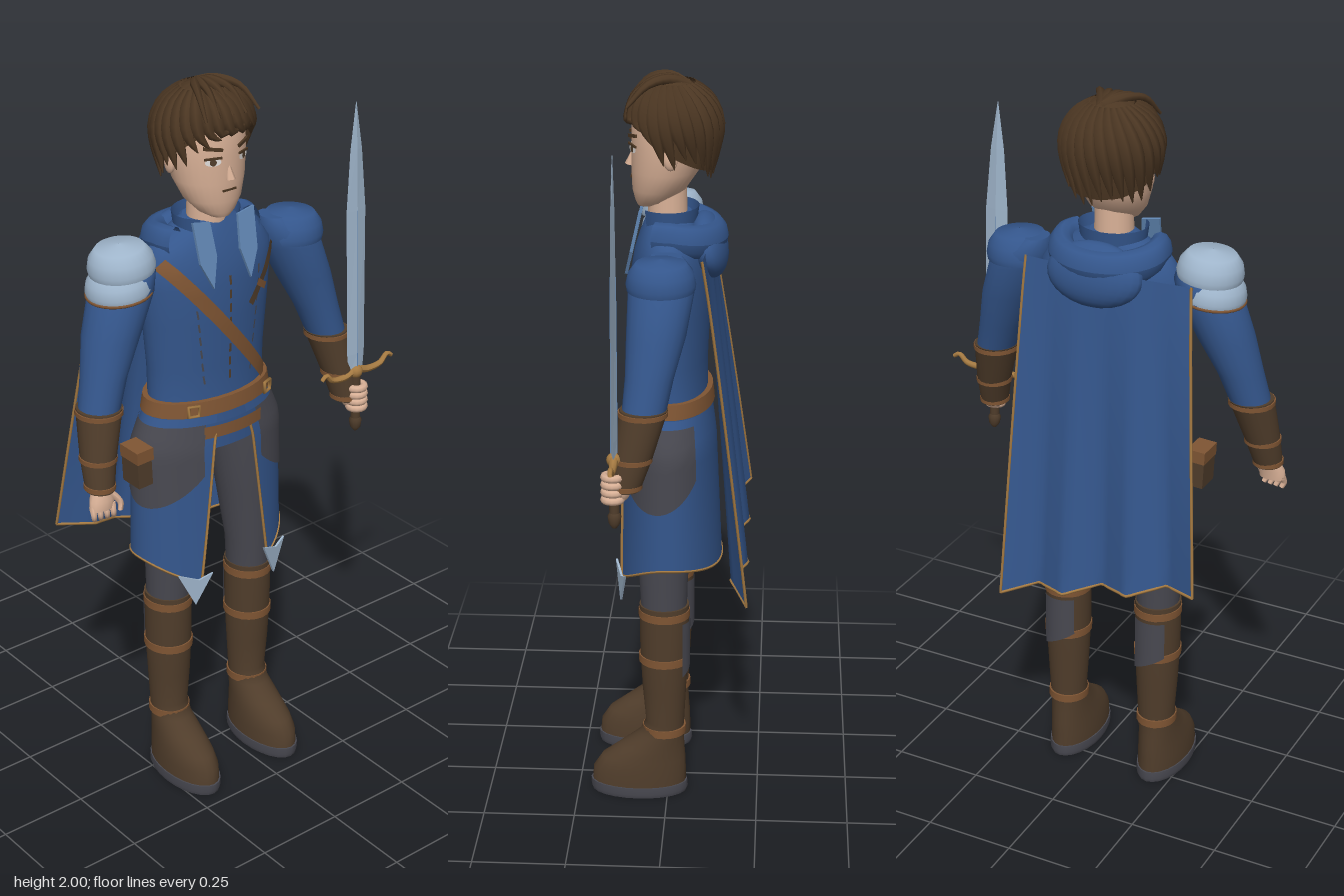
import * as THREE from 'three';

const M = {};
for (const [name, color] of Object.entries({
  blueCloth: 0x34568c, paleBlue: 0x6288b5, steel: 0x9fb5cb, greyTrousers: 0x484850, bootLeather: 0x503d2b,
  tanLeather: 0x7f5533, gold: 0xa57a42, skin: 0xd8b096, hairBrown: 0x4b3622, eyeWhite: 0xe2dedb,
})) M[name] = new THREE.MeshStandardMaterial({ color, name, side: THREE.DoubleSide });

const lerp = THREE.MathUtils.lerp;
const V = (x, y, z) => new THREE.Vector3(x, y, z);

export function createModel() {
  const root = new THREE.Group();
  const body = new THREE.Group();
  body.name = 'figure';
  body.position.x = -0.055;
  root.add(body);

  const add = (name, geo, mat, pos = [0, 0, 0], rot = [0, 0, 0], parent = body) => {
    const m = new THREE.Mesh(geo, mat);
    m.name = name;
    m.position.set(...pos);
    m.rotation.set(...rot);
    parent.add(m);
    return m;
  };
  // smooth sheet from a rule fn(u, v) -> [x, y, z]
  const grid = (nu, nv, fn) => {
    const p = [], idx = [], w = nu + 1;
    for (let j = 0; j <= nv; j++) for (let i = 0; i <= nu; i++) p.push(...fn(i / nu, j / nv));
    for (let j = 0; j < nv; j++) for (let i = 0; i < nu; i++) {
      const a = j * w + i;
      idx.push(a, a + 1, a + w + 1, a, a + w + 1, a + w);
    }
    const g = new THREE.BufferGeometry();
    g.setAttribute('position', new THREE.Float32BufferAttribute(p, 3));
    g.setIndex(idx);
    g.computeVertexNormals();
    return g;
  };
  // capped solid through ellipses [y, rx, rz, cx, cz], listed upwards
  const loft = (secs, n = 24, flat = false, s = 1) => {
    const p = [], idx = [];
    const ring = ([y, rx, rz, cx = 0, cz = 0]) => {
      for (let i = 0; i < n; i++) {
        const a = i / n * Math.PI * 2;
        p.push(s * cx + rx * Math.sin(a), y, cz + rz * Math.cos(a));
      }
    };
    secs.forEach(ring);
    for (let j = 0; j < secs.length - 1; j++) for (let i = 0; i < n; i++) {
      const a = j * n + i, b = j * n + (i + 1) % n;
      idx.push(a, b, b + n, a, b + n, a + n);
    }
    for (const [sec, up] of [[secs[0], false], [secs.at(-1), true]]) {
      const o = p.length / 3;
      ring(sec);
      p.push(s * (sec[3] || 0), sec[0], sec[4] || 0);
      for (let i = 0; i < n; i++) up ? idx.push(o + i, o + (i + 1) % n, o + n) : idx.push(o + (i + 1) % n, o + i, o + n);
    }
    let g = new THREE.BufferGeometry();
    g.setAttribute('position', new THREE.Float32BufferAttribute(p, 3));
    g.setIndex(idx);
    if (flat) g = g.toNonIndexed();
    g.computeVertexNormals();
    return g;
  };
  // tube along points whose radius follows taper(t)
  const sweep = (pts, r, taper = () => 1, seg = 10, sides = 6) => {
    const c = new THREE.CatmullRomCurve3(pts.map(q => V(...q)));
    const g = new THREE.TubeGeometry(c, seg, r, sides);
    const pos = g.attributes.position, v = V(0, 0, 0);
    for (let i = 0; i < pos.count; i++) {
      const t = Math.floor(i / (sides + 1)) / seg, o = c.getPointAt(t);
      v.fromBufferAttribute(pos, i).sub(o).multiplyScalar(taper(t)).add(o);
      pos.setXYZ(i, v.x, v.y, v.z);
    }
    g.computeVertexNormals();
    return g;
  };

  // torso
  const torso = [[1.06, .19, .11], [1.15, .175, .1], [1.25, .178, .1], [1.38, .19, .105], [1.48, .2, .104],
    [1.54, .2, .094], [1.585, .165, .08], [1.62, .1, .066], [1.64, .06, .055]];
  add('coatBody', loft(torso, 32), M.blueCloth);
  const chestZ = (x, y) => {
    let i = 0;
    while (i < torso.length - 2 && torso[i + 1][0] < y) i++;
    const [a, b] = [torso[i], torso[i + 1]], t = (y - a[0]) / (b[0] - a[0]);
    return lerp(a[2], b[2], t) * Math.sqrt(Math.max(0, 1 - (x / lerp(a[1], b[1], t)) ** 2));
  };
  // flat strap laid over the chest between two points
  const strap = (name, [x0, y0], [x1, y1], w, mat, lift = .007) => {
    const L = Math.hypot(x1 - x0, y1 - y0), nx = -(y1 - y0) / L, ny = (x1 - x0) / L;
    add(name, grid(16, 2, (u, v) => {
      const x = lerp(x0, x1, u) + nx * (v - .5) * w, y = lerp(y0, y1, u) + ny * (v - .5) * w;
      return [x, y, chestZ(x, y) + lift];
    }), mat);
  };
  strap('baldric', [-.175, 1.555], [.15, 1.165], .036, M.tanLeather);
  strap('chestSheath', [.065, 1.405], [.175, 1.535], .022, M.bootLeather, .011);
  strap('chestSheathLoop', [.09, 1.46], [.125, 1.435], .018, M.tanLeather, .014);
  for (let i = 0; i < 8; i++) {
    const y = 1.21 + i * .038;
    strap('frontStitch', [0, y], [0, y + .024], .007, M.bootLeather, .004);
    for (const s of [-1, 1]) strap('sideStitch', [s * (.075 + i * .004), y], [s * (.079 + i * .004), y + .024], .005, M.greyTrousers, .004);
  }

  // belts, buckles and pouch
  add('belt', loft([[1.125, .197, .119], [1.165, .19, .114]], 32), M.tanLeather);
  add('lowerBelt', grid(14, 1, (u, v) => [lerp(-.09, .1, u), 1.06 + v * .035, .126 - (u - .5) ** 2 * .06]), M.tanLeather);
  for (const x of [-.115, .13]) add('buckle', new THREE.TorusGeometry(.02, .005, 6, 4), M.gold, [x, 1.145, .1], [0, x * 3, Math.PI / 4]);
  add('coatFlap', grid(10, 2, (u, v) => [lerp(-.09, .09, u), lerp(1.025, 1.1, v), .119 - (u - .5) ** 2 * .05]), M.blueCloth);
  add('pouch', new THREE.BoxGeometry(.045, .1, .07), M.bootLeather, [-.25, 1.005, .03], [0, 0, .05]);
  add('pouchFlap', new THREE.BoxGeometry(.052, .035, .076), M.tanLeather, [-.25, 1.045, .03], [0, 0, .05]);

  // coat skirt, open in front
  const hem = a => .67 + .04 * Math.sin(a) ** 2 - .05 * Math.max(0, Math.cos(a)) ** 2;
  const onSkirt = (a, y, off = 0) => {
    const t = THREE.MathUtils.clamp((1.12 - y) / .09, 0, 1), d = (1.12 - y) / .5;
    return [(lerp(.19, .228, t) + .008 * d + off) * Math.sin(a), y, (lerp(.112, .12, t) + .024 * d + off) * Math.cos(a)];
  };
  const gap = v => Math.asin(lerp(.11, .055, v) / .23);
  const skirtPoint = (u, v, off) => {
    const a = lerp(gap(v), Math.PI * 2 - gap(v), u);
    return onSkirt(a, lerp(hem(a), 1.12, v), off);
  };
  add('coatSkirt', grid(64, 14, (u, v) => skirtPoint(u, v)), M.blueCloth);
  const ts = [...Array(13).keys()].map(i => i / 12);
  for (const u of [0, 1]) add('skirtTrim', sweep(ts.map(v => skirtPoint(u, v * .9, .002)), .004, undefined, 24, 5), M.gold);
  add('skirtHem', sweep([...Array(33).keys()].map(i => skirtPoint(i / 32, 0)), .0035, undefined, 64, 5), M.gold);
  for (const s of [-1, 1]) {
    add('hipPanel', grid(20, 8, (u, v) => {
      const a = lerp(.42, 2.2, u);
      return onSkirt(s * a, lerp(1.09 - .22 * Math.sin(Math.PI * (.12 + u * .76)) ** .5, 1.1, v), .004);
    }), M.greyTrousers);
    const tip = new THREE.Shape([[-.05, .045], [0, -.055], [.05, .035], [.01, .02]].map(q => new THREE.Vector2(...q)));
    add('skirtTip', new THREE.ExtrudeGeometry(tip, { depth: .006, bevelEnabled: false }), M.steel, [s * .135, .635, .125], [0, s * .3, 0]);
  }

  // legs and boots
  for (const s of [-1, 1]) {
    add('trouserLeg', loft([[.5, .056, .06, .14, .01], [.65, .062, .066, .138, .012], [.82, .08, .08, .128, .01],
      [.98, .094, .09, .115, .005], [1.09, .09, .09, .1, 0]], 20, false, s), M.greyTrousers);
    add('boot', loft([[.025, .066, .131, .14, .081], [.07, .066, .129, .14, .079], [.105, .062, .117, .14, .068],
      [.14, .058, .091, .14, .045], [.18, .053, .062, .14, .018], [.22, .052, .053, .14, .008], [.32, .058, .06, .14, .01],
      [.43, .063, .066, .14, .01], [.575, .063, .068, .14, .01]], 24, false, s), M.bootLeather);
    add('sole', loft([[0, .066, .132, .14, .08], [.012, .07, .136, .14, .08], [.032, .069, .135, .14, .081]], 24, false, s), M.greyTrousers);
    for (const [y, r] of [[.55, .066], [.415, .066], [.195, .056]])
      add('bootStrap', loft([[y - .011, r, r + .004, .14, .01], [y + .011, r, r + .004, .14, .01]], 20, false, s), M.tanLeather);
    add('calfPatch', grid(8, 4, (u, v) => {
      const a = Math.PI + (u - .5) * 1.5;
      return [s * .14 + .066 * Math.sin(a), lerp(.37 + .05 * u, .53, v), .01 + .071 * Math.cos(a)];
    }), M.greyTrousers);
  }

  // arms
  for (const s of [-1, 1]) {
    add('sleeve', loft([[1.2, .052, .055, .383, .05], [1.3, .06, .062, .352, .035], [1.4, .076, .076, .315, .02],
      [1.5, .084, .084, .275, .01], [1.55, .07, .075, .25, .005], [1.58, .03, .04, .22, 0]], 20, false, s), M.blueCloth);
    add('bracer', loft([[1.02, .037, .04, .415, .095], [1.1, .046, .05, .404, .075], [1.225, .06, .062, .378, .048]], 18, false, s), M.bootLeather);
    for (const [y, r, x, z] of [[1.215, .062, .38, .05], [1.1, .049, .404, .075], [1.03, .041, .414, .093]])
      add('bracerBand', loft([[y - .006, r, r + .002, x, z], [y + .006, r, r + .002, x, z]], 18, false, s), M.tanLeather);
  }
  // open right hand
  add('rightPalm', loft([[.975, .036, .022, -.422, .11], [1.0, .036, .024, -.42, .108], [1.03, .026, .022, -.415, .1]], 14), M.skin);
  for (let i = 0; i < 4; i++) {
    const x = -.449 + i * .018, z = .108 + i * .003;
    add('rightFinger', sweep([[x, .985, z], [x - .003, .962, z + .01], [x + .002, .948, z + .004]], .0105, t => 1 - .35 * t), M.skin);
  }
  add('rightThumb', sweep([[-.395, 1.01, .115], [-.378, .985, .13], [-.382, .965, .135]], .011, t => 1 - .4 * t), M.skin);

  // sword in the left hand
  const sword = new THREE.Group();
  sword.name = 'sword';
  sword.position.set(.375, 1.03, .12);
  sword.rotation.z = .035;
  root.add(sword);
  const part = (name, geo, mat, pos, rot) => add(name, geo, mat, pos, rot, sword);
  part('blade', loft([[.07, .024, .008], [.13, .03, .008], [.55, .033, .007], [.72, .02, .005], [.85, .001, .001]], 4, true), M.steel);
  part('fuller', loft([[.08, .004, .0095], [.55, .003, .008]], 4, true), M.paleBlue);
  part('grip', new THREE.CylinderGeometry(.014, .013, .16, 12), M.bootLeather);
  part('crossGuard', sweep([[-.12, .085, 0], [-.105, .095, 0], [-.085, .075, 0], [-.04, .068, 0], [0, .08, 0], [.04, .068, 0],
    [.09, .07, 0], [.115, .09, 0], [.132, .08, 0]], .009, t => 1.3 - Math.abs(t - .5) * 1.3, 40, 8), M.gold);
  part('guardBoss', new THREE.SphereGeometry(.02, 12, 8), M.gold, [0, .075, 0]);
  part('pommel', loft([[-.108, .006, .006], [-.095, .015, .015], [-.075, .018, .018], [-.065, .012, .012]], 12), M.bootLeather);
  part('leftPalm', new THREE.SphereGeometry(.034, 14, 10).scale(.8, 1.15, .8), M.skin, [-.008, .0, -.016]);
  for (let i = 0; i < 4; i++)
    part('leftFinger', new THREE.TorusGeometry(.021, .011, 8, 14), M.skin, [0, -.03 + i * .02, .004], [Math.PI / 2, 0, 0]);

  // shoulder guards: two steel plates on the right, one blue cap on the left
  const dome = (r, h) => new THREE.LatheGeometry([[r * .97, 0], [r, h * .2], [r * .93, h * .55], [r * .72, h * .87], [.001, h]]
    .map(q => new THREE.Vector2(...q)), 28);
  add('rightLowerGuard', dome(.086, .07), M.steel, [-.28, 1.5, .01], [0, 0, .1]);
  add('rightGuardRim', new THREE.TorusGeometry(.084, .004, 6, 28), M.tanLeather, [-.28, 1.5, .01], [Math.PI / 2, .1, 0]);
  add('rightUpperGuard', dome(.087, .075), M.steel, [-.27, 1.556, .01], [0, 0, .1]);
  add('leftGuard', dome(.089, .08), M.blueCloth, [.277, 1.508, .01], [0, 0, -.03]);

  // collar with pointed lapels
  add('neck', new THREE.CylinderGeometry(.05, .054, .14, 20), M.skin, [0, 1.64, .008]);
  add('collar', grid(28, 3, (u, v) => {
    const a = lerp(.75, Math.PI * 2 - .75, u), r = lerp(.082, .094, v);
    return [r * Math.sin(a), lerp(1.57, 1.655, v), r * .85 * Math.cos(a) + .005];
  }), M.blueCloth);
  for (const s of [-1, 1]) {
    const lapel = new THREE.Shape([[.045, .1], [.098, .11], [.092, 0], [.06, -.07], [.038, .01]].map(([x, y]) => new THREE.Vector2(s * x, y)));
    add('lapel', new THREE.ExtrudeGeometry(lapel, { depth: .008, bevelEnabled: false }), M.paleBlue, [0, 1.55, .094], [-.22, 0, 0]);
  }

  // cape with zigzag folds, and hood lying on the back
  const cape = (u, v) => {
    const k = u * 6, fold = Math.abs(((k + 1) % 2) - 1);
    return [lerp(lerp(-.265, -.345, v), lerp(.205, .23, v), u), lerp(1.56, lerp(.75, .61, u) + .012 * fold, v),
      lerp(-.09 - .012 * Math.sin(u * Math.PI), -.215 + .045 * fold, v ** .9)];
  };
  add('cape', grid(24, 14, cape), M.blueCloth);
  for (const u of [0, 1]) add('capeEdge', sweep(ts.map(v => cape(u, v)), .004, undefined, 20, 5), M.gold);
  add('capeHem', sweep([...Array(25).keys()].map(i => cape(i / 24, 1)), .004, undefined, 48, 5), M.gold);
  add('hoodRoll', grid(28, 12, (u, v) => {
    const a = lerp(1.15, Math.PI * 2 - 1.15, u), b = v * Math.PI * 2, back = Math.max(0, -Math.cos(a));
    const r = .125 + (.03 + .012 * back) * Math.cos(b);
    return [r * 1.05 * Math.sin(a), 1.595 + .045 * Math.sin(b) - .02 * back, r * .85 * Math.cos(a) - .01];
  }), M.blueCloth);
  add('hoodDrape', new THREE.SphereGeometry(1, 24, 14).scale(.135, .085, .05), M.blueCloth, [0, 1.55, -.1], [.25, 0, 0]);

  // head and face
  add('head', loft([[1.655, .028, .026, 0, .06], [1.668, .05, .045, 0, .047], [1.7, .077, .07, 0, .03], [1.75, .096, .088, 0, .014],
    [1.82, .105, .098, 0, .004], [1.9, .103, .1, 0, 0], [1.95, .075, .075, 0, 0]], 32), M.skin);
  add('nose', new THREE.ConeGeometry(.013, .05, 6).scale(1, 1, 1.1), M.skin, [0, 1.785, .1], [-.2, 0, 0]);
  add('mouth', new THREE.BoxGeometry(.042, .005, .006), M.hairBrown, [0, 1.732, .1]);
  for (const s of [-1, 1]) {
    const face = new THREE.Group();
    face.name = 'eye';
    face.position.set(s * .047, 1.812, .0945);
    face.rotation.y = s * .45;
    body.add(face);
    add('eyeball', new THREE.CircleGeometry(.021, 18).scale(1, .5, 1), M.eyeWhite, [0, 0, .001], [0, 0, 0], face);
    add('iris', new THREE.CircleGeometry(.009, 14), M.bootLeather, [0, 0, .003], [0, 0, 0], face);
    add('upperLid', new THREE.BoxGeometry(.046, .005, .005), M.hairBrown, [0, .01, .002], [0, 0, s * -.05], face);
    add('eyebrow', new THREE.BoxGeometry(.05, .008, .006), M.hairBrown, [0, .034, .001], [0, 0, s * .14], face);
    add('ear', new THREE.SphereGeometry(.026, 12, 8).scale(.4, 1, .7), M.skin, [s * .106, 1.795, -.005]);
  }

  // hair: a cap plus layered locks
  const hairLine = a => 1.81 - .075 * -Math.cos(a) + .02 * Math.cos(a) ** 2;
  const onHair = (a, y, k = 1) => {
    const d = y - 1.85, r = Math.sqrt(Math.max(0, 1 - (d / (d > 0 ? .14 : .22)) ** 2)) * k;
    return [.122 * r * Math.sin(a), y, .118 * r * Math.cos(a) - .005];
  };
  add('hairCap', grid(48, 12, (u, v) => {
    const a = u * Math.PI * 2;
    return onHair(a, lerp(hairLine(a), 1.988, Math.sin(v * Math.PI / 2)), 1 + .02 * Math.sin(a * 12));
  }), M.hairBrown);
  for (let i = 0; i < 26; i++) {
    const a = i / 26 * Math.PI * 2, j = Math.sin(i * 7.3), y = hairLine(a) - .012 + .014 * j;
    const w = Math.abs(Math.sin(a)) > .85 && Math.cos(a) > -.1 ? .03 : 0, b = a + .22;
    add('hairLock', sweep([onHair(a - .25, 1.972, .9), onHair(a - .12, 1.94, 1.0), onHair(a, 1.885, 1.02), onHair(b, y - w, 1.03)],
      .023, t => .5 + 1.5 * t * (1 - t) - .45 * t ** 3, 10, 6), M.hairBrown);
  }
  for (let i = 0; i < 5; i++) {
    const x = -.06 + i * .032;
    add('topTuft', sweep([[.01, 1.97, -.045], [x * .5, 1.988, .0], [x, 1.978, .055], [x * 1.3, 1.925, .108]], .016, t => 1 - .75 * t), M.hairBrown);
  }
  return root;
}
